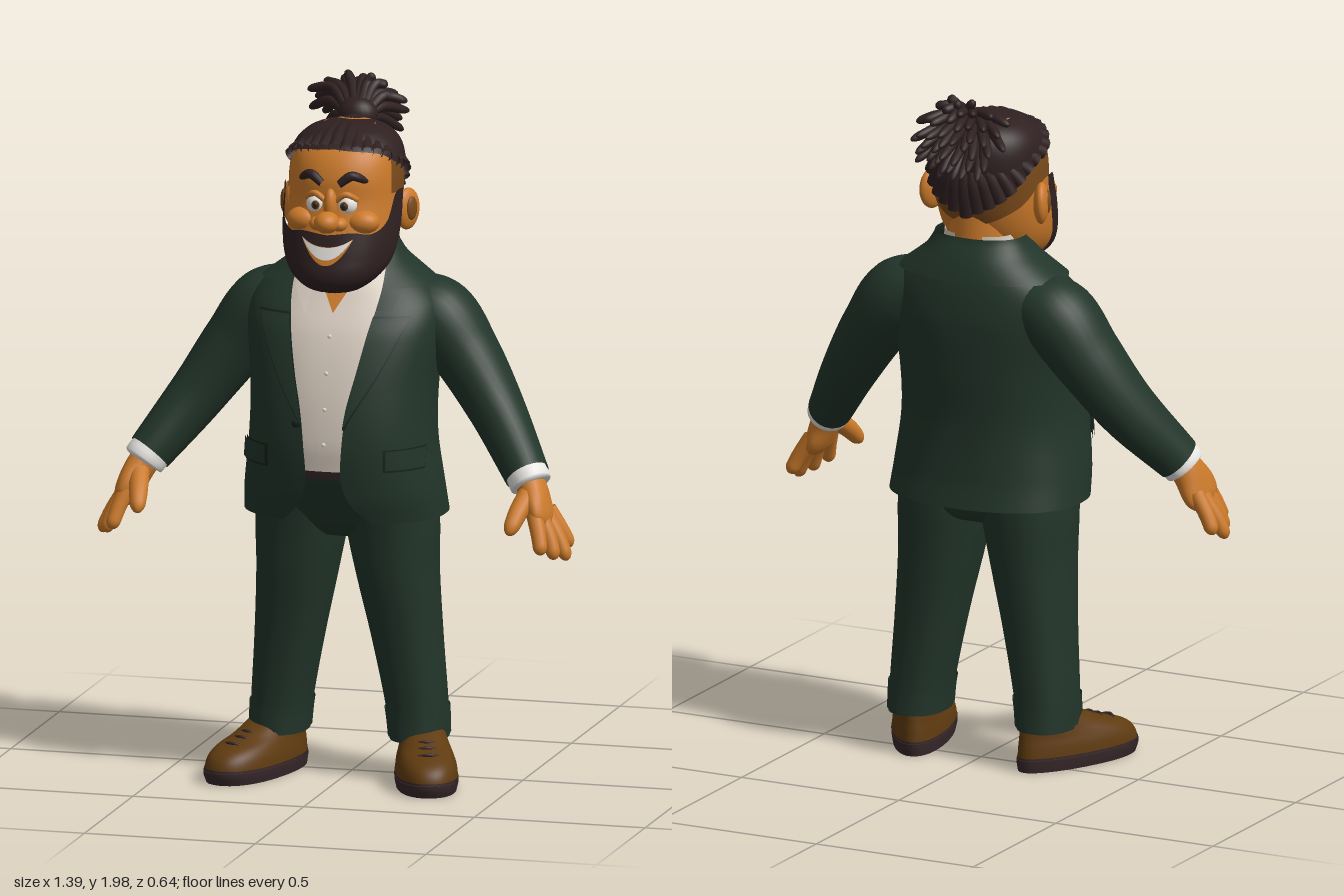
import * as THREE from 'three';
import { mergeGeometries, mergeVertices } from 'three/addons/utils/BufferGeometryUtils.js';

const PI = Math.PI;
const paint = (name, color) => Object.assign(new THREE.MeshStandardMaterial({ color, side: THREE.DoubleSide }), { name });
const M = {
  suit: paint('suit green', 0x22352a), seam: paint('seam dark green', 0x16221b), shirt: paint('shirt cream', 0xd9cdc0),
  skin: paint('skin', 0xcb7a2a), hair: paint('hair dark brown', 0x2f2021), fade: paint('shaved hair brown', 0x7a4a1b),
  shoe: paint('shoe leather', 0x5f3b10), sole: paint('sole', 0x36272a), white: paint('white', 0xf0eeea),
};

// Smooth lookup of column k in rows sorted by their first column
function look(rows, y, k = 1) {
  const n = rows.length - 1;
  if (y <= rows[0][0]) return rows[0][k];
  if (y >= rows[n][0]) return rows[n][k];
  let i = 0;
  while (y > rows[i + 1][0]) i++;
  const slope = (j) => {
    const a = rows[Math.max(0, j - 1)], b = rows[Math.min(n, j + 1)];
    return (b[k] - a[k]) / (b[0] - a[0]);
  };
  const h = rows[i + 1][0] - rows[i][0], t = (y - rows[i][0]) / h, t2 = t * t, t3 = t2 * t;
  return (2 * t3 - 3 * t2 + 1) * rows[i][k] + (t3 - 2 * t2 + t) * h * slope(i)
    + (3 * t2 - 2 * t3) * rows[i + 1][k] + (t3 - t2) * h * slope(i + 1);
}

// Grid surface from f(u, v) -> Vector3
function surf(f, nu, nv) {
  const pos = [], idx = [];
  for (let j = 0; j <= nv; j++) for (let i = 0; i <= nu; i++) pos.push(...f(i / nu, j / nv).toArray());
  for (let j = 0; j < nv; j++) for (let i = 0; i < nu; i++) {
    const a = j * (nu + 1) + i, d = a + nu + 1;
    idx.push(a, a + 1, d + 1, a, d + 1, d);
  }
  let g = new THREE.BufferGeometry();
  g.setAttribute('position', new THREE.Float32BufferAttribute(pos, 3));
  g.setIndex(idx);
  g = mergeVertices(g, 1e-5);
  g.computeVertexNormals();
  return g;
}

// Body of rounded cross-sections; rows: [y, half width, front z, back z, centre x]; angle 0 faces front
function body(rows, n = 2.3) {
  const P = (a, y, s = 1) => {
    const rx = look(rows, y, 1), zf = look(rows, y, 2), zb = look(rows, y, 3);
    const p = (v) => Math.sign(v) * Math.pow(Math.abs(v), 2 / n);
    const cx = rows[0].length > 4 ? look(rows, y, 4) : 0;
    return new THREE.Vector3(cx + s * rx * p(Math.sin(a)), y, (zf + zb) / 2 + s * (zf - zb) / 2 * p(Math.cos(a)));
  };
  P.angle = (x, y) => Math.sign(x) * Math.asin(Math.pow(Math.min(1, Math.abs(x) / look(rows, y, 1)), n / 2));
  return P;
}
const mix = THREE.MathUtils.lerp;
const band = (P, y0, y1, a0, a1, s = 1, nu = 40, nv = 28) => surf((u, v) => {
  const y = mix(y0, y1, v);
  return P(mix(a0(y), a1(y), u), y, s);
}, nu, nv);
const apron = (P, a0, a1, lo, hi, s, nu = 48, nv = 18) => surf((u, v) => {
  const a = mix(a0, a1, u);
  return P(a, mix(lo(Math.abs(a)), hi(Math.abs(a)), v), s);
}, nu, nv);
const whole = (P, y0, y1, s = 1, nv = 28) => band(P, y0, y1, () => -PI, () => PI, s, 48, nv);
// Strip between two x positions, mirrored by side
const strip = (P, side, y0, y1, xa, xb, s, nu = 10, nv = 20) => band(P, y0, y1,
  (y) => side > 0 ? P.angle(xa(y), y) : -P.angle(xb(y), y),
  (y) => side > 0 ? P.angle(xb(y), y) : -P.angle(xa(y), y), s, nu, nv);

// Swept limb; points: [x, y, z, radius, depth radius], tip rounded over the last part
function limb(pts, tip = 0, side = 1, nu = 18, nv = 20) {
  const c = new THREE.CatmullRomCurve3(pts.map((p) => new THREE.Vector3(p[0] * side, p[1], p[2])));
  const dir = c.getPoint(1).sub(c.getPoint(0)).normalize();
  const ref = Math.abs(dir.x) > 0.75 ? new THREE.Vector3(0, 0, 1) : new THREE.Vector3(1, 0, 0);
  const size = (t, k) => look(pts.map((p, i) => [i / (pts.length - 1), p[k] ?? p[3]]), t);
  return surf((u, v) => {
    const t = tip ? Math.sin(v * PI / 2) : v, T = c.getTangent(t);
    const W = ref.clone().addScaledVector(T, -ref.dot(T)).normalize(), N = T.clone().cross(W);
    const e = t > 1 - tip ? Math.sqrt(Math.max(0, 1 - ((t - 1 + tip) / tip) ** 2)) : 1, a = u * 2 * PI;
    return c.getPoint(t).addScaledVector(W, e * size(t, 3) * Math.cos(a)).addScaledVector(N, e * size(t, 4) * Math.sin(a));
  }, nu, nv);
}

export function createModel() {
  const root = new THREE.Group();
  root.name = 'suitedMan';
  const add = (name, mat, geo) => {
    const m = new THREE.Mesh(geo, mat);
    m.name = name;
    root.add(m);
    return m;
  };
  const ball = (name, mat, p, r) => {
    const m = add(name, mat, new THREE.SphereGeometry(1, 24, 16));
    m.position.set(...p);
    m.scale.set(...r);
    return m;
  };

  // Body shapes
  const jacket = body([[0.77, 0.29, 0.27, -0.165], [0.85, 0.283, 0.295, -0.15], [1, 0.265, 0.312, -0.14], [1.15, 0.265, 0.295, -0.15],
    [1.3, 0.283, 0.25, -0.157], [1.37, 0.278, 0.21, -0.15], [1.42, 0.245, 0.175, -0.14], [1.47, 0.185, 0.14, -0.125], [1.5, 0.15, 0.12, -0.112], [1.54, 0.125, 0.09, -0.09]]);
  const shirt = body([[0.92, 0.24, 0.283, -0.11], [1, 0.24, 0.29, -0.11], [1.15, 0.24, 0.273, -0.12], [1.3, 0.25, 0.228, -0.13],
    [1.4, 0.21, 0.17, -0.11], [1.46, 0.14, 0.135, -0.09], [1.5, 0.115, 0.11, -0.085], [1.55, 0.105, 0.08, -0.082]]);
  const hips = body([[0.69, 0.02, 0.07, 0.03], [0.71, 0.16, 0.15, -0.07], [0.78, 0.24, 0.21, -0.11], [0.88, 0.25, 0.262, -0.12], [0.94, 0.25, 0.278, -0.12]]);
  const open = (y) => look([[0.77, 0.13], [0.82, 0.08], [0.89, 0.053], [1, 0.056], [1.1, 0.068], [1.2, 0.09], [1.3, 0.11], [1.42, 0.13], [1.5, 0.125], [1.54, 0.115]], y);

  add('jacket', M.suit, band(jacket, 0.77, 1.54, (y) => jacket.angle(open(y), y), (y) => 2 * PI - jacket.angle(open(y), y), 1, 72, 48));
  add('shirt', M.shirt, whole(shirt, 0.92, 1.55));
  add('shirtPlacket', M.shirt, strip(shirt, 1, 0.94, 1.37, () => -0.016, () => 0.016, 1.025));
  add('openNeck', M.skin, strip(shirt, 1, 1.36, 1.5, (y) => -(y - 1.36) * 0.55, (y) => (y - 1.36) * 0.55, 1.04));
  add('trouserTop', M.suit, whole(hips, 0.69, 0.94));
  add('belt', M.sole, whole(hips, 0.897, 0.942, 1.035, 4));
  for (let i = 0; i < 4; i++) {
    const y = 1 + i * 0.1;
    ball('shirtButton', M.white, shirt(0, y, 1.03).toArray(), [0.006, 0.006, 0.003]);
  }
  ball('jacketButton', M.seam, jacket(-jacket.angle(0.078, 1.06), 1.06, 1.01).toArray(), [0.012, 0.012, 0.006]);

  const lapelWidth = (y) => look([[1.06, 0], [1.15, 0.035], [1.25, 0.065], [1.35, 0.088]], y);
  for (const s of [1, -1]) {
    // Jacket trim
    add('lapelEdge', M.seam, strip(jacket, s, 1.05, 1.36, (y) => open(y) - 0.004, (y) => open(y) + lapelWidth(y) + 0.006, 1.03));
    add('lapel', M.suit, strip(jacket, s, 1.06, 1.355, (y) => open(y) - 0.004, (y) => open(y) + lapelWidth(y), 1.045));
    add('jacketCollar', M.suit, band(jacket, 1.43, 1.545,
      (y) => s > 0 ? jacket.angle(open(y), y) : -PI, (y) => s > 0 ? PI : -jacket.angle(open(y), y), 1.07, 24, 12));
    add('collarNotch', M.suit, strip(jacket, s, 1.375, 1.44, (y) => open(y) - 0.004, (y) => open(y) + 0.035 + (y - 1.375) * 0.3, 1.05));
    add('pocketFlapEdge', M.seam, strip(jacket, s, 0.925, 0.99, () => 0.165, () => 0.258, 1.02));
    add('pocketFlap', M.suit, strip(jacket, s, 0.932, 0.987, () => 0.17, () => 0.255, 1.04));
    add('shirtCollar', M.shirt, strip(shirt, s, 1.36, 1.5, (y) => 0.07 - (y - 1.36) * 0.12, (y) => Math.min(0.112, 0.075 + (y - 1.36) * 0.6), 1.1));

    // Arm and hand
    add('sleeve', M.suit, limb([[0.17, 1.37, -0.01, 0.085, 0.1], [0.25, 1.325, -0.01, 0.108, 0.118], [0.335, 1.22, 0, 0.096, 0.11],
      [0.44, 1.07, 0.045, 0.08, 0.092], [0.553, 0.913, 0.14, 0.064, 0.07]], 0, s, 28, 32));
    add('shirtCuff', M.white, limb([[0.53, 0.945, 0.12, 0.056, 0.062], [0.567, 0.893, 0.152, 0.06, 0.066], [0.57, 0.888, 0.154, 0.04, 0.045]], 0, s, 24, 8));
    add('palm', M.skin, limb([[0.55, 0.915, 0.14, 0.042, 0.048], [0.575, 0.875, 0.158, 0.042, 0.056], [0.598, 0.825, 0.175, 0.037, 0.073],
      [0.622, 0.765, 0.188, 0.028, 0.07]], 0.25, s, 24, 24));
    const fingers = [[[0.598, 0.82, 0.225], [0.617, 0.765, 0.25], [0.63, 0.715, 0.272]], [[0.61, 0.81, 0.2], [0.64, 0.75, 0.215], [0.658, 0.695, 0.23]],
      [[0.615, 0.81, 0.165], [0.655, 0.745, 0.175], [0.683, 0.685, 0.185]], [[0.612, 0.82, 0.135], [0.65, 0.76, 0.13], [0.675, 0.71, 0.122]]];
    for (const f of fingers) add('finger', M.skin, limb(f.map((p, i) => [...p, 0.024 - i * 0.002]), 0.22, s, 14, 16));
    add('thumb', M.skin, limb([[0.572, 0.875, 0.18, 0.03], [0.555, 0.825, 0.25, 0.027], [0.543, 0.775, 0.305, 0.02]], 0.22, s, 14, 16));

    // Trouser leg
    const leg = body([[0.115, 0.08, 0.13, -0.088, 0.204 * s], [0.2, 0.084, 0.13, -0.085, 0.198 * s], [0.4, 0.097, 0.15, -0.088, 0.172 * s],
      [0.6, 0.114, 0.183, -0.1, 0.145 * s], [0.73, 0.127, 0.2, -0.11, 0.133 * s], [0.85, 0.126, 0.22, -0.115, 0.126 * s]]);
    add('trouserLeg', M.suit, whole(leg, 0.115, 0.85));
    add('trouserCuff', M.suit, whole(leg, 0.125, 0.205, 1.05, 4));

    // Shoe, widening towards the toe
    const shoe = new THREE.Group();
    shoe.name = 'shoe';
    const upper = body([[0, 0.085, 0.315, -0.09], [0.03, 0.09, 0.325, -0.095], [0.07, 0.087, 0.312, -0.093], [0.095, 0.08, 0.275, -0.09],
      [0.115, 0.074, 0.205, -0.088], [0.15, 0.066, 0.12, -0.08]], 2.2);
    const foot = (a, y, k) => {
      const p = upper(a, y, k);
      p.x *= 0.85 + 0.9 * p.z;
      return p;
    };
    const soleBase = surf((u, v) => foot((u * 2 - 1) * PI, 0, v ? 1.02 * v : 0).setY(0), 48, 4);
    for (const [name, mat, g] of [['soleBottom', M.sole, soleBase], ['soleRim', M.sole, whole(foot, 0, 0.035, 1.02, 4)],
      ['shoeUpper', M.shoe, whole(foot, 0.035, 0.15, 1, 16)], ['heelSeam', M.sole, whole(foot, 0.036, 0.042, 1.01, 1)]]) {
      const m = new THREE.Mesh(g, mat);
      m.name = name;
      shoe.add(m);
    }
    for (let i = 0; i < 3; i++) {
      const y = 0.106 + i * 0.011, z = look([[0.106, 0.243], [0.117, 0.2], [0.128, 0.17]], y);
      const lace = new THREE.Mesh(limb([[-0.035, y - 0.006, z - 0.015, 0.004], [0, y + 0.002, z, 0.005], [0.035, y - 0.006, z - 0.015, 0.004]], 0, 1, 8, 8), M.sole);
      lace.name = 'lace';
      shoe.add(lace);
    }
    shoe.position.x = 0.205 * s;
    shoe.rotation.y = 0.35 * s;
    root.add(shoe);
  }

  // Neck and head
  const neck = add('neck', M.skin, new THREE.CylinderGeometry(0.09, 0.1, 0.22, 32));
  neck.position.set(0, 1.51, 0.005);
  const head = body([[1.418, 0, 0.17, 0.17], [1.425, 0.05, 0.225, 0.11], [1.445, 0.09, 0.26, 0.055], [1.48, 0.125, 0.272, 0], [1.53, 0.147, 0.262, -0.045],
    [1.6, 0.157, 0.245, -0.08], [1.68, 0.158, 0.225, -0.1], [1.75, 0.157, 0.22, -0.11], [1.81, 0.148, 0.195, -0.105],
    [1.85, 0.122, 0.155, -0.085], [1.875, 0.075, 0.105, -0.045], [1.885, 0, 0.03, 0.03]], 2.15);
  add('head', M.skin, whole(head, 1.418, 1.885, 1, 48));
  add('shavedSides', M.fade, apron(head, 1.2, 2 * PI - 1.2, (a) => look([[1.2, 1.7], [1.6, 1.69], [2.2, 1.63], [PI, 1.58], [4.08, 1.63], [4.68, 1.69], [5.08, 1.7]], a), () => 1.83, 1.015));
  add('beard', M.hair, apron(head, -1.48, 1.48, (a) => look([[0, 1.418], [1.1, 1.418], [1.48, 1.5]], a),
    (a) => look([[0, 1.598], [0.4, 1.605], [0.75, 1.6], [1.05, 1.63], [1.22, 1.7], [1.48, 1.71]], a), 1.09, 64, 28));
  add('lip', M.skin, apron(head, -0.42, 0.42, (a) => 1.514 + 0.43 * a * a, (a) => 1.566 + 0.135 * a * a, 1.115, 24, 6));
  add('teeth', M.white, apron(head, -0.4, 0.4, (a) => 1.53 + 0.37 * a * a, (a) => 1.565 + 0.15 * a * a, 1.135, 24, 6));

  // Face
  ball('noseTip', M.skin, [0, 1.635, 0.262], [0.036, 0.031, 0.04]);
  ball('noseBridge', M.skin, [0, 1.675, 0.222], [0.02, 0.05, 0.026]);
  for (const s of [1, -1]) {
    ball('nostril', M.skin, [0.032 * s, 1.628, 0.246], [0.023, 0.02, 0.026]);
    ball('cheek', M.skin, [0.085 * s, 1.628, 0.195], [0.05, 0.035, 0.04]);
    ball('eye', M.white, [0.045 * s, 1.678, 0.203], [0.03, 0.031, 0.03]);
    ball('iris', M.shoe, [0.042 * s, 1.677, 0.231], [0.012, 0.013, 0.004]);
    ball('pupil', M.hair, [0.042 * s, 1.677, 0.2335], [0.007, 0.008, 0.004]);
    add('eyelid', M.skin, limb([[0.016, 1.69, 0.222, 0.008], [0.045, 1.71, 0.224, 0.009], [0.077, 1.69, 0.204, 0.008]], 0.1, s, 10, 12));
    add('eyebrow', M.hair, limb([[0.025, 1.738, 0.222, 0.011], [0.06, 1.762, 0.214, 0.014], [0.1, 1.742, 0.186, 0.009]], 0.2, s, 12, 14));
    const ear = ball('ear', M.skin, [0.172 * s, 1.638, 0.035], [0.022, 0.06, 0.047]);
    ear.rotation.y = -0.4 * s;
    const hollow = ball('earHollow', M.fade, [0.187 * s, 1.642, 0.045], [0.01, 0.034, 0.022]);
    hollow.rotation.y = -0.4 * s;
  }

  // Hair pulled back to a tied bunch
  const hairline = (a) => look([[0, 1.83], [0.9, 1.815], [1.3, 1.785], [1.8, 1.75], [2.4, 1.67], [PI, 1.61]], Math.min(a, 2 * PI - a));
  add('hairCap', M.hair, apron(head, 0, 2 * PI, hairline, () => 1.885, 1.05, 64, 20));
  const tie = new THREE.Vector3(-0.01, 1.865, -0.09), centre = new THREE.Vector3(0, 1.7, 0.05), oval = new THREE.Vector3(0.155, 0.172, 0.16);
  const strands = [];
  for (let i = 0; i < 30; i++) {
    const a = i / 30 * 2 * PI, start = head(a, hairline(a), 1.04);
    const path = [0, 0.33, 0.67, 1].map((t) => {
      const p = start.clone().lerp(tie, t);
      if (t > 0 && t < 1) {
        const d = p.sub(centre);
        p.divideScalar(d.clone().divide(oval).length()).add(centre);
      }
      return [p.x, p.y, p.z, 0.019];
    });
    strands.push(limb(path, 0, 1, 9, 14));
  }
  add('scalpLocks', M.hair, mergeGeometries(strands));
  ball('hairTie', M.hair, [-0.012, 1.872, -0.1], [0.058, 0.05, 0.05]);

  // Loose locks fanning out from the tie
  const locks = [];
  for (let i = 0; i < 46; i++) {
    const a = i * 2.4, r = Math.sqrt((i + 0.5) / 46), c = r * Math.cos(a), h = r * Math.sin(a), w = Math.sin(i * 5.3);
    const tip = [-0.04 + 0.16 * c, 1.865 + 0.12 * h, -0.2 - 0.1 * (1 - r * r) + 0.05 * h + 0.015 * w];
    const mid = [-0.03 + 0.085 * c, 1.895 + 0.065 * h + 0.008 * w, -0.15 - 0.04 * (1 - r)];
    locks.push(limb([[-0.012 + 0.03 * c, 1.872 + 0.03 * h, -0.09, 0.015], [...mid, 0.015], [...tip, 0.012]], 0.15, 1, 8, 14));
  }
  add('looseLocks', M.hair, mergeGeometries(locks));
  return root;
}
